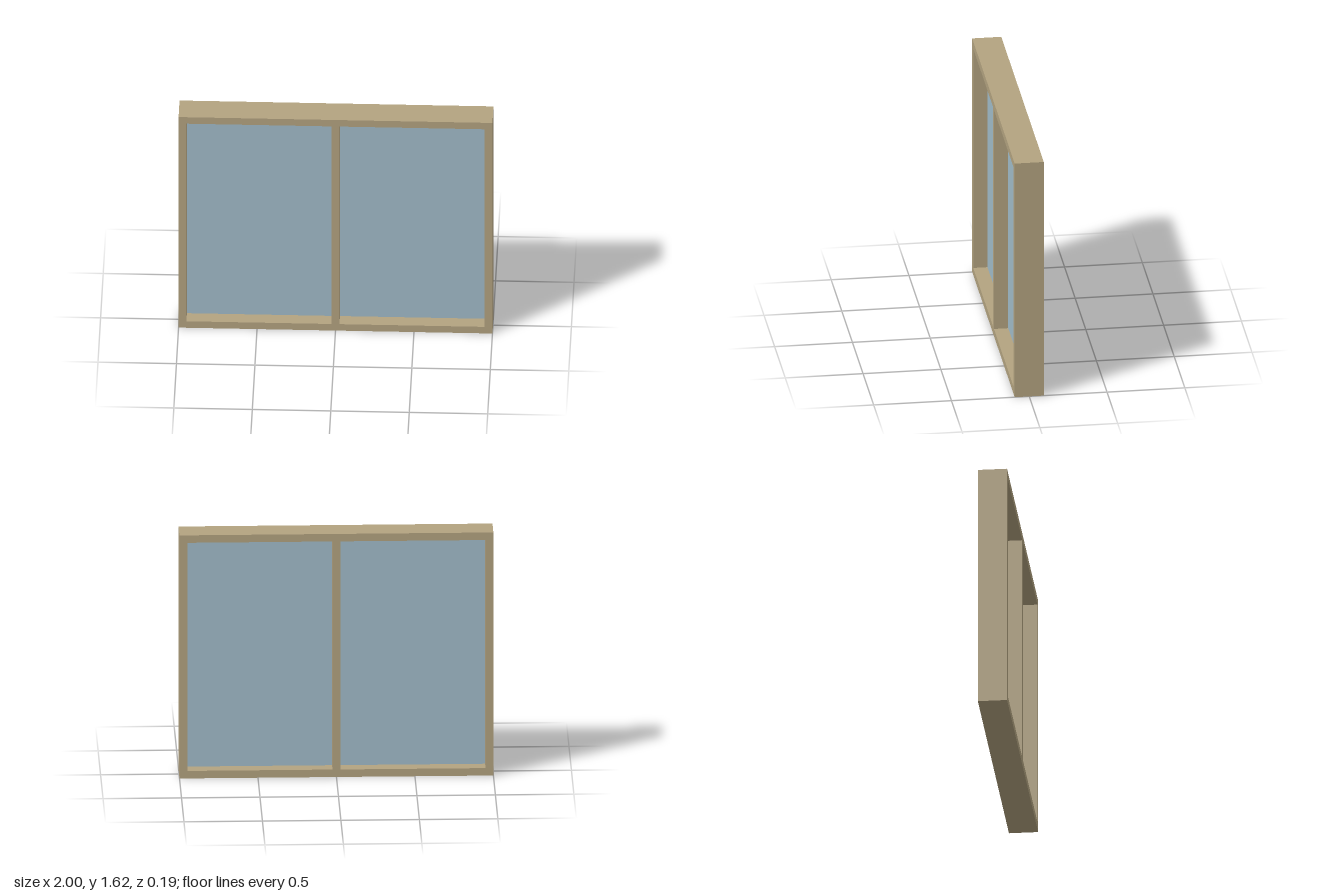
import * as THREE from 'three';

const WIDTH = 2, HEIGHT = 1.625, DEPTH = 0.187, BAR = 0.05;
const PANE_W = (WIDTH - 3 * BAR) / 2, PANE_H = HEIGHT - 2 * BAR;

// Rectangle corners, counter-clockwise from the lower left
function corners(x, y, w, h) {
  return [[x, y], [x + w, y], [x + w, y + h], [x, y + h]].map(([a, b]) => new THREE.Vector2(a, b));
}

export function createModel() {
  const wood = new THREE.MeshStandardMaterial({ color: 0xb3a380 });
  wood.name = 'tan frame';
  const glass = new THREE.MeshStandardMaterial({ color: 0xa1bcca });
  glass.name = 'pale blue glass';

  const model = new THREE.Group();
  model.name = 'window';

  // Outer frame and centre mullion: one slab with two openings
  const outline = new THREE.Shape(corners(-WIDTH / 2, 0, WIDTH, HEIGHT));
  const openings = [-WIDTH / 2 + BAR, BAR / 2];
  for (const x of openings) {
    outline.holes.push(new THREE.Path(corners(x, BAR, PANE_W, PANE_H)));
  }
  const frameGeometry = new THREE.ExtrudeGeometry(outline, { depth: DEPTH, bevelEnabled: false });
  frameGeometry.translate(0, 0, -DEPTH / 2);
  const frame = new THREE.Mesh(frameGeometry, wood);
  frame.name = 'frame';
  model.add(frame);

  // Glass panes set at mid depth
  openings.forEach((x, i) => {
    const pane = new THREE.Mesh(new THREE.BoxGeometry(PANE_W, PANE_H, 0.004), glass);
    pane.position.set(x + PANE_W / 2, HEIGHT / 2, 0);
    pane.name = i === 0 ? 'rightPane' : 'leftPane';
    model.add(pane);
  });

  return model;
}
